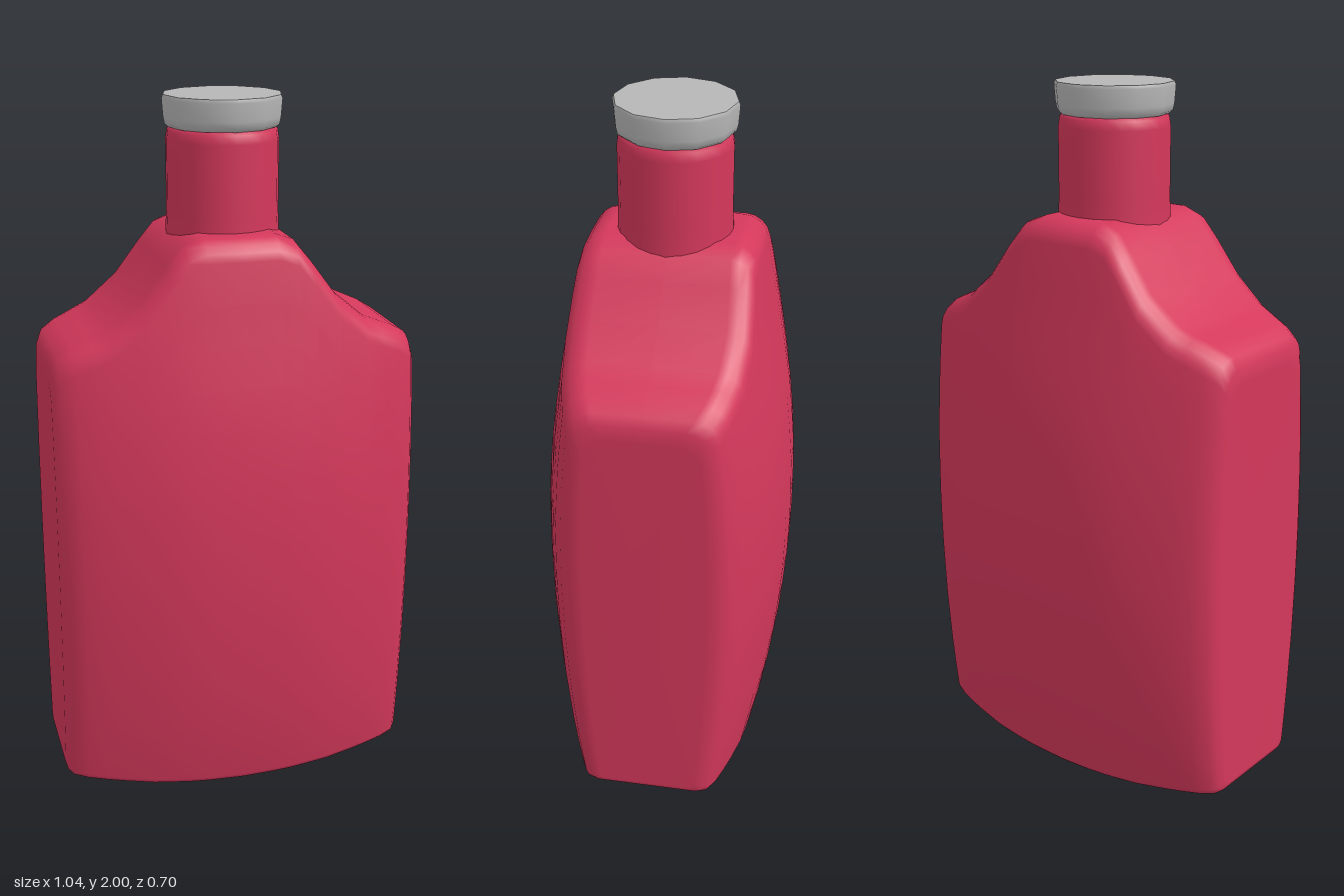
import * as THREE from 'three';

const red = new THREE.MeshStandardMaterial({ color: 0xd4385b });
red.name = 'bottle red';
const grey = new THREE.MeshStandardMaterial({ color: 0xb6b6b6 });
grey.name = 'cap grey';

// Half-depth of the body on its centre line, by height
const depths = [[0, 0.265], [0.06, 0.28], [0.2, 0.307], [0.4, 0.333], [0.6, 0.347], [0.75, 0.35],
  [0.95, 0.344], [1.15, 0.322], [1.3, 0.296], [1.45, 0.267], [1.6, 0.242], [1.65, 0.235]];
function depthAt(y) {
  let i = 0;
  while (i < depths.length - 2 && y > depths[i + 1][0]) i++;
  const [y0, d0] = depths[i], [y1, d1] = depths[i + 1];
  return THREE.MathUtils.lerp(d0, d1, THREE.MathUtils.clamp((y - y0) / (y1 - y0), 0, 1));
}

// Half columns of the body: x, shoulder height, bottom height, depth factor
const half = [[0, 1.645, 0, 1], [0.1, 1.645, 0.002, 0.99], [0.155, 1.625, 0.004, 0.975],
  [0.2, 1.57, 0.007, 0.957], [0.27, 1.475, 0.011, 0.92], [0.36, 1.4, 0.02, 0.845],
  [0.41, 1.378, 0.025, 0.795], [0.46, 1.357, 0.031, 0.74], [0.5, 1.333, 0.037, 0.67],
  [0.515, 1.305, 0.045, 0.59], [0.52, 1.265, 0.06, 0.5]];

// Closed y-z section: flat top, round corner, bulging face, tight corner, flat bottom
function section([x, top, bottom, factor]) {
  const front = [];
  const add = (y, inset) => front.push([y, depthAt(y) * factor - inset]);
  const corner = (y, r, from, to) => {
    for (let k = 0; k <= 4; k++) {
      const a = THREE.MathUtils.lerp(from, to, k / 4);
      add(y + r * Math.cos(a), r * (1 - Math.sin(a)));
    }
  };
  const rTop = 0.06, rBottom = 0.022;
  corner(top - rTop, rTop, 0, Math.PI / 2);
  for (let k = 1; k < 14; k++) add(THREE.MathUtils.lerp(top - rTop, bottom + rBottom, k / 14), 0);
  corner(bottom + rBottom, rBottom, Math.PI / 2, Math.PI);
  const back = front.map(([y, z]) => [y, -z]).reverse();
  return [[top, 0], ...front, [bottom, 0], ...back].map(([y, z]) => [x, y, z]);
}

function bodyGeometry() {
  const mirrored = half.slice(1).reverse().map(([x, ...rest]) => [-x, ...rest]);
  const rings = [...mirrored, ...half].map(section);
  const n = rings[0].length, m = rings.length;
  const positions = rings.flat(2), index = [];
  for (let i = 0; i < m - 1; i++) {
    for (let j = 0; j < n; j++) {
      const k = (j + 1) % n, a = i * n + j, b = i * n + k;
      index.push(a, b, b + n, a, b + n, a + n);
    }
  }
  // Flat ends
  positions.push(-0.52, 0.7, 0, 0.52, 0.7, 0);
  for (let j = 0; j < n; j++) {
    const k = (j + 1) % n;
    index.push(m * n, k, j, m * n + 1, (m - 1) * n + j, (m - 1) * n + k);
  }
  const g = new THREE.BufferGeometry();
  g.setAttribute('position', new THREE.Float32BufferAttribute(positions, 3));
  g.setIndex(index);
  g.computeVertexNormals();
  return g;
}

function lathe(points, segments) {
  return new THREE.LatheGeometry(points.map(([r, y]) => new THREE.Vector2(r, y)), segments);
}

export function createModel() {
  const model = new THREE.Group();
  model.name = 'bottle';
  const add = (name, geometry, material) => {
    const mesh = new THREE.Mesh(geometry, material);
    mesh.name = name;
    model.add(mesh);
  };
  add('body', bodyGeometry(), red);
  // Neck with a slight flare at the shoulder and a rounded rim
  add('neck', lathe([[0.16, 1.55], [0.158, 1.645], [0.156, 1.68], [0.156, 1.88],
    [0.152, 1.905], [0.14, 1.918], [0, 1.918]], 24), red);
  // Twelve-sided cap
  add('cap', lathe([[0, 1.913], [0.15, 1.913], [0.15, 1.913], [0.161, 1.922], [0.165, 1.94],
    [0.169, 1.99], [0.165, 2], [0.165, 2], [0, 2]], 12), grey);
  return model;
}
